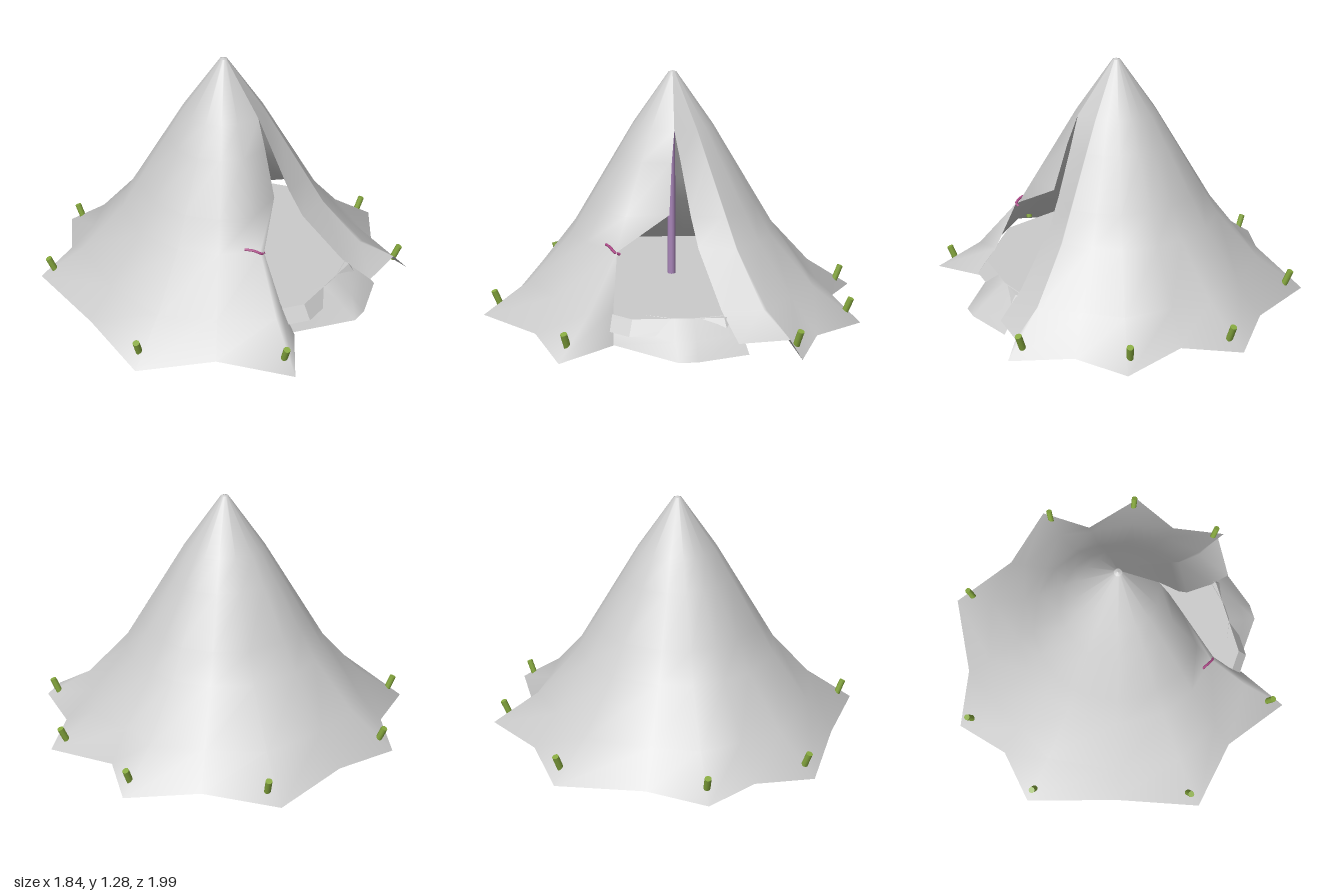
import * as THREE from 'three';

const CX = 0.06; // the pole stands slightly off centre
const grey = new THREE.MeshStandardMaterial({ color: 0xcccccc, side: THREE.DoubleSide });
const flatGrey = new THREE.MeshStandardMaterial({ color: 0xcccccc, side: THREE.DoubleSide, flatShading: true });
const purple = new THREE.MeshStandardMaterial({ color: 0xa885b8 });
const green = new THREE.MeshStandardMaterial({ color: 0x86a83e });
const pink = new THREE.MeshStandardMaterial({ color: 0xb04a8a });

function add(group, name, geometry, material) {
  const mesh = new THREE.Mesh(geometry, material);
  mesh.name = name;
  group.add(mesh);
  return mesh;
}

// Joins columns of points (top to bottom, angle growing from +x to +z) into a sheet;
// the first wrapRows rows also close from the last column back to the first.
function sheet(columns, wrapRows = 0) {
  const rows = columns[0].length, n = columns.length, index = [];
  for (let i = 0; i < n; i++) {
    const j = (i + 1) % n;
    const count = i < n - 1 ? rows - 1 : wrapRows;
    for (let r = 0; r < count; r++) {
      const a = i * rows + r, d = j * rows + r;
      index.push(a, d + 1, a + 1, a, d, d + 1);
    }
  }
  const g = new THREE.BufferGeometry();
  g.setAttribute('position', new THREE.Float32BufferAttribute(columns.flat(2), 3));
  g.setIndex(index);
  g.computeVertexNormals();
  return g;
}

// One seam of the canvas, from the peak down to a hem point
function seam([x, z, y = 0.035]) {
  const dx = x - CX, hem = Math.hypot(dx, z);
  const profile = [[0.02, 1.27], [0.21, 1.0], [0.30, 0.85], [0.45, 0.6], [0.54, 0.45], [0.52 + 0.245 * hem, 0.2], [hem, y]];
  return profile.map(([r, h]) => [CX + dx / hem * r, h, z / hem * r]);
}

export function createModel() {
  const tent = new THREE.Group();
  tent.name = 'tent';

  // Canvas: pegged points and slack hem between them, with the open door on +x
  const hem = [
    [0.91, 0.56], [0.54, 0.70], [0.27, 0.99], [-0.16, 0.84], [-0.65, 0.71], [-0.71, 0.41],
    [-0.92, 0.19], [-0.80, -0.12], [-0.77, -0.57], [-0.40, -0.73], [-0.13, -1.0],
    [0.12, -0.83], [0.46, -0.94], [0.62, -0.69], [0.91, -0.57], [0.85, -0.52, 0.11],
  ];
  const tiedEdge = [[0.08, 1.27, 0], [0.28, 1.0, 0], [0.335, 0.85, 0.015], [0.41, 0.6, 0.03],
    [0.53, 0.45, 0.29], [0.65, 0.2, 0.31], [0.74, 0.05, 0.31]];
  const looseEdge = [[0.08, 1.27, 0], [0.28, 1.0, 0], [0.335, 0.85, -0.03], [0.43, 0.6, -0.075],
    [0.50, 0.45, -0.11], [0.70, 0.2, -0.21], [0.84, 0.09, -0.28]];
  add(tent, 'canvas', sheet([tiedEdge, ...hem.map(seam), looseEdge], 1), grey);

  // Peak cap
  const cap = add(tent, 'peakCap', new THREE.ConeGeometry(0.021, 0.008, 12, 1, true), grey);
  cap.position.set(CX, 1.273, 0);

  // Raised floor with a turned-down edge
  const floor = [];
  for (let i = 0; i < 10; i++) {
    const a = (i + 0.5) * Math.PI / 5, c = Math.cos(a), s = Math.sin(a);
    floor.push([[CX, 0.18, 0], [CX + 0.71 * c, 0.18, 0.71 * s], [CX + 0.76 * c, 0.11, 0.76 * s]]);
  }
  add(tent, 'floor', sheet(floor, 2), flatGrey);

  // Doorstep: floor cloth running out to the ground at the door
  add(tent, 'doorstep', sheet([
    [[0.70, 0.182, -0.25], [0.77, 0.12, -0.30], [0.84, 0.035, -0.33]],
    [[0.74, 0.182, -0.07], [0.84, 0.11, -0.08], [0.92, 0.035, -0.08]],
    [[0.74, 0.182, 0.02], [0.84, 0.10, 0.02], [0.92, 0.035, 0.01]],
    [[0.62, 0.178, 0.30], [0.66, 0.13, 0.31], [0.70, 0.035, 0.31]],
  ]), grey);

  // Centre pole
  const pole = add(tent, 'pole', new THREE.CylinderGeometry(0.018, 0.022, 1.25, 12), purple);
  pole.position.set(CX, 0.625, 0.005);

  // Pegs, leaning outwards
  const up = new THREE.Vector3(0, 1, 0);
  const pegs = [[0.42, -0.88], [-0.10, -0.93], [0.84, -0.56], [-0.68, -0.56],
    [-0.85, 0.18], [-0.60, 0.67], [0.23, 0.92], [0.83, 0.53]];
  for (const [x, z] of pegs) {
    const peg = add(tent, 'peg', new THREE.CylinderGeometry(0.017, 0.017, 0.09, 10), green);
    const lean = new THREE.Vector3(x, 0, z).setLength(0.38).add(up).normalize();
    peg.position.set(x, 0.112, z);
    peg.quaternion.setFromUnitVectors(up, lean);
  }

  // Door tie
  const tie = new THREE.CatmullRomCurve3([[0.45, 0.465, 0.345], [0.49, 0.463, 0.325],
    [0.525, 0.445, 0.30], [0.52, 0.435, 0.275]].map(p => new THREE.Vector3(...p)));
  add(tent, 'doorTie', new THREE.TubeGeometry(tie, 12, 0.007, 6), pink);

  return tent;
}
